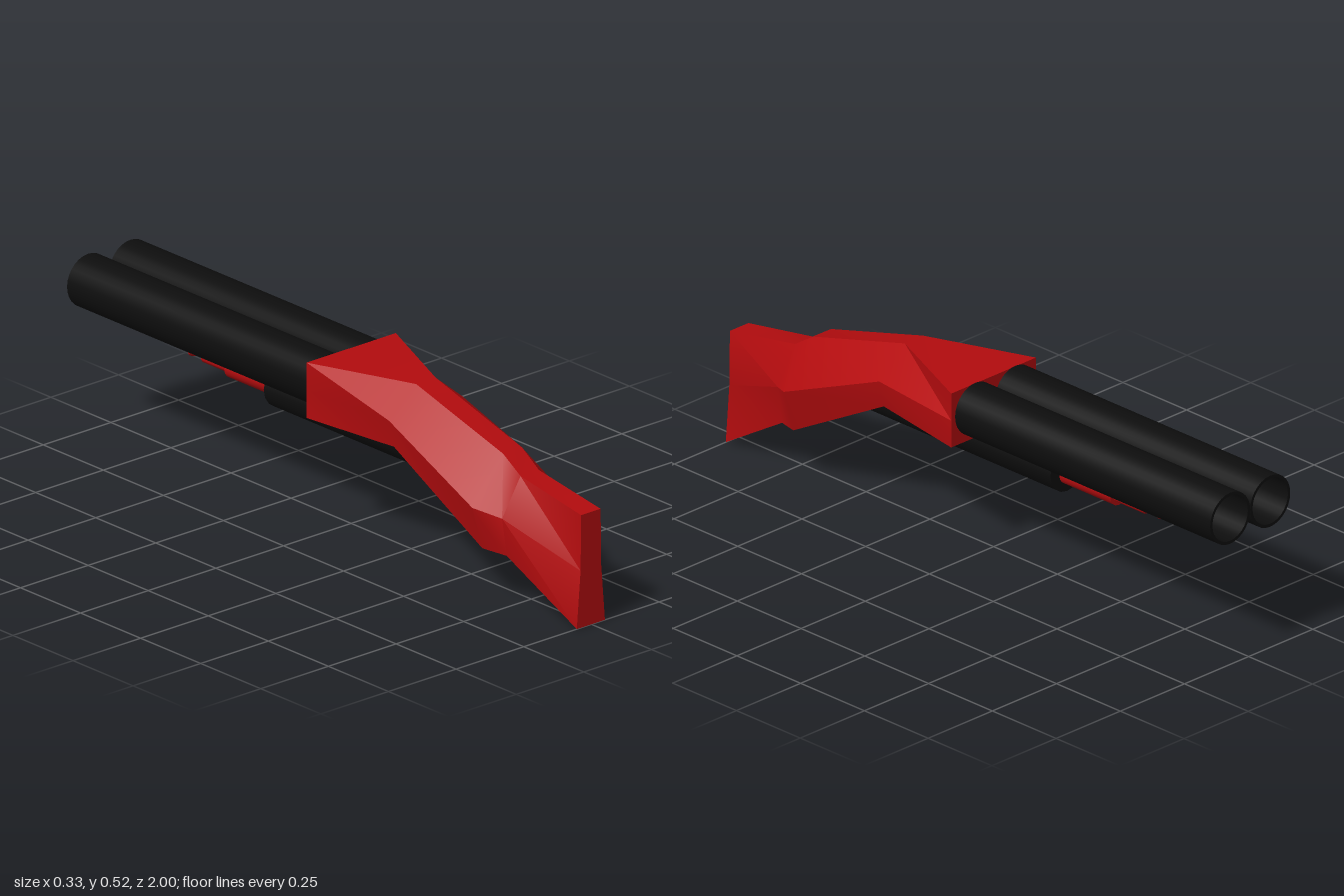
import * as THREE from 'three';
import { toCreasedNormals } from 'three/addons/utils/BufferGeometryUtils.js';

const red = new THREE.MeshStandardMaterial({ color: 0xb30c0e });
red.name = 'red stock';
const black = new THREE.MeshStandardMaterial({ color: 0x0d0d0d });
black.name = 'black metal';

// Six-sided cross-sections: z, centre x, then [y, half width] at top, middle and bottom
const SECTIONS = [
  [0, 0, [0.523, 0.165], [0.44, 0.165], [0.358, 0.165]],
  [0.32, -0.008, [0.523, 0.036], [0.44, 0.136], [0.358, 0.118]],
  [0.68, -0.007, [0.423, 0.035], [0.292, 0.149], [0.162, 0.112]],
  [0.75, -0.006, [0.377, 0.034], [0.268, 0.102], [0.153, 0.085]],
  [1, -0.002, [0.335, 0.036], [0.17, 0.038], [0, 0.052]],
];

function stockGeometry() {
  const rings = SECTIONS.map(([z, cx, top, mid, bottom]) =>
    [[top, 1], [top, -1], [mid, -1], [bottom, -1], [bottom, 1], [mid, 1]]
      .map(([[y, w], side]) => [cx + side * w, y, z]));
  const pos = [];
  const quad = (a, b, c, d) => [a, b, c, a, c, d].forEach((p) => pos.push(...p));
  for (let i = 0; i < rings.length - 1; i++) {
    for (let j = 0; j < 6; j++) {
      const k = (j + 1) % 6;
      quad(rings[i][j], rings[i][k], rings[i + 1][k], rings[i + 1][j]);
    }
  }
  // Butt plate and breech face
  const e = rings[rings.length - 1], s = rings[0];
  quad(e[0], e[1], e[2], e[5]);
  quad(e[5], e[2], e[3], e[4]);
  quad(s[5], s[2], s[1], s[0]);
  quad(s[4], s[3], s[2], s[5]);
  const g = new THREE.BufferGeometry();
  g.setAttribute('position', new THREE.Float32BufferAttribute(pos, 3));
  return toCreasedNormals(g, 0.65);
}

// Turned part whose axis runs towards -z; profile points are [radius, distance]
function turned(profile, sides, crease = 0.6) {
  const g = new THREE.LatheGeometry(profile.map(([r, d]) => new THREE.Vector2(r, d)), sides);
  g.rotateX(-Math.PI / 2);
  return toCreasedNormals(g, crease);
}

export function createModel() {
  const model = new THREE.Group();
  const add = (name, geometry, material, x = 0, y = 0, z = 0) => {
    const mesh = new THREE.Mesh(geometry, material);
    mesh.name = name;
    mesh.position.set(x, y, z);
    model.add(mesh);
    return mesh;
  };

  add('stock', stockGeometry(), red);

  // Two hollow barrels side by side
  const barrel = turned([[0.078, 0], [0.078, 1], [0.069, 1], [0.069, 0.01], [0, 0.01]], 28);
  for (const [name, side] of [['leftBarrel', 1], ['rightBarrel', -1]]) {
    add(name, barrel, black, -0.006 + side * 0.078, 0.447, 0);
  }

  // Fore-end tube under the barrels, running back into the stock
  const tube = turned([[0, 0], [0.066, 0], [0.066, 0.785], [0, 0.785]], 16);
  add('foreEnd', tube, black, -0.004, 0.331, 0.5);

  // Stepped rod with a flared tip
  const rod = turned([
    [0, 0], [0.033, 0], [0.033, 0.2], [0.022, 0.2], [0.022, 0.31],
    [0.01, 0.315], [0.01, 0.33], [0.019, 0.368], [0, 0.368],
  ], 16);
  add('rod', rod, red, -0.004, 0.323, -0.287);

  return model;
}
